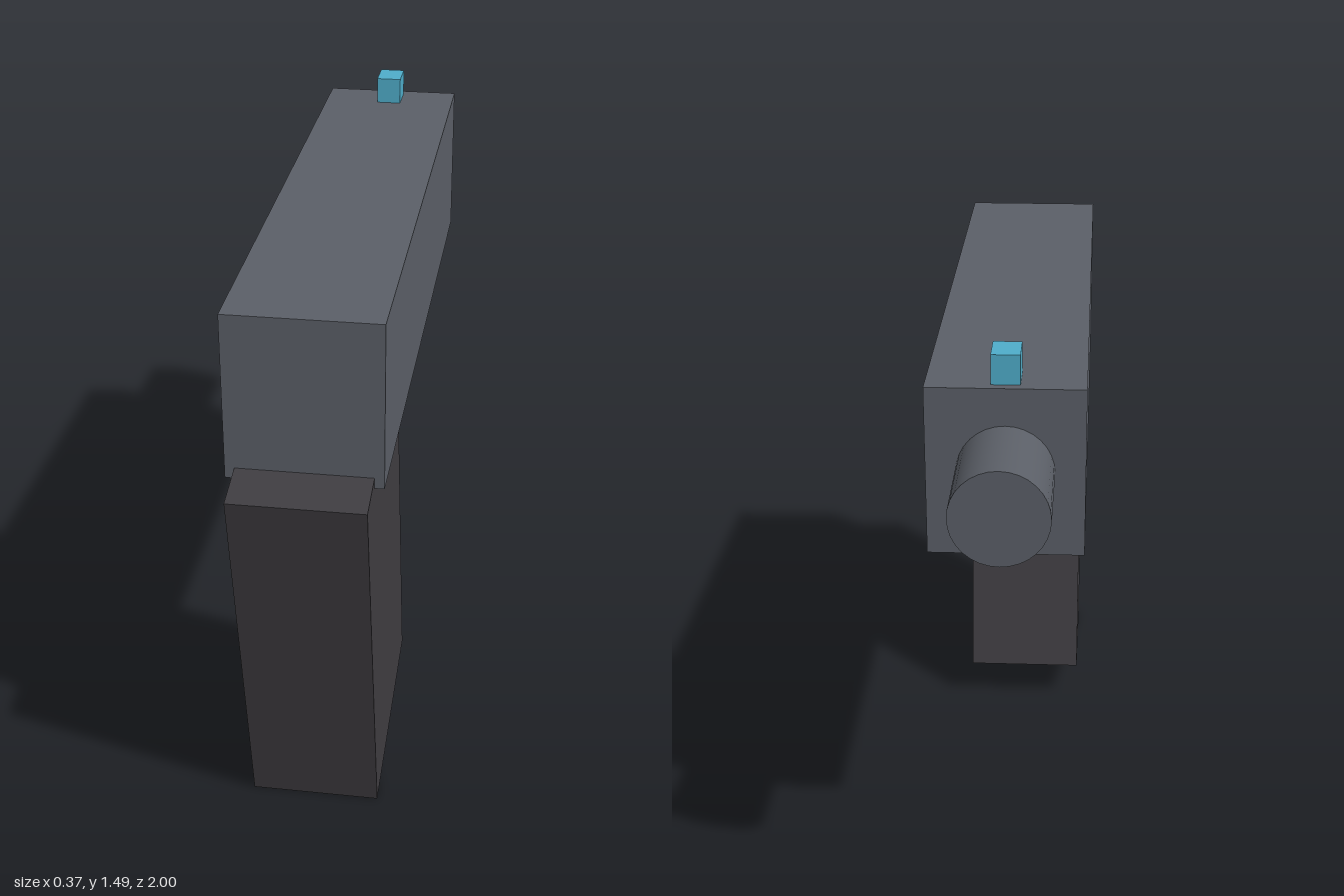
import * as THREE from 'three';

const bodyGrey = new THREE.MeshStandardMaterial({ color: 0x5b5f67 });
const gripGrey = new THREE.MeshStandardMaterial({ color: 0x3f3d41 });
const sightBlue = new THREE.MeshStandardMaterial({ color: 0x4fadca });
bodyGrey.name = 'bodyGrey';
gripGrey.name = 'gripGrey';
sightBlue.name = 'sightBlue';

function part(name, geometry, material, y, z, tilt = 0) {
  const mesh = new THREE.Mesh(geometry, material);
  mesh.name = name;
  mesh.position.set(0, y, z);
  mesh.rotation.x = tilt;
  return mesh;
}

export function createModel() {
  const model = new THREE.Group();
  model.name = 'blaster';
  model.add(
    // Long rectangular body
    part('body', new THREE.BoxGeometry(0.372, 0.416, 1.628), bodyGrey, 1.208, 0.069),
    // Slanted grip, its top sunk into the body
    part('grip', new THREE.BoxGeometry(0.326, 1.023, 0.555), gripGrey, 0.557, 0.628, 0.2),
    // Round barrel pointing to the back, slightly sunk into the body
    part('barrel', new THREE.CylinderGeometry(0.115, 0.115, 0.3, 32), bodyGrey, 1.21, -0.85, Math.PI / 2),
    // Small sight block on top
    part('sight', new THREE.BoxGeometry(0.068, 0.09, 0.092), sightBlue, 1.443, -0.675),
  );
  return model;
}
